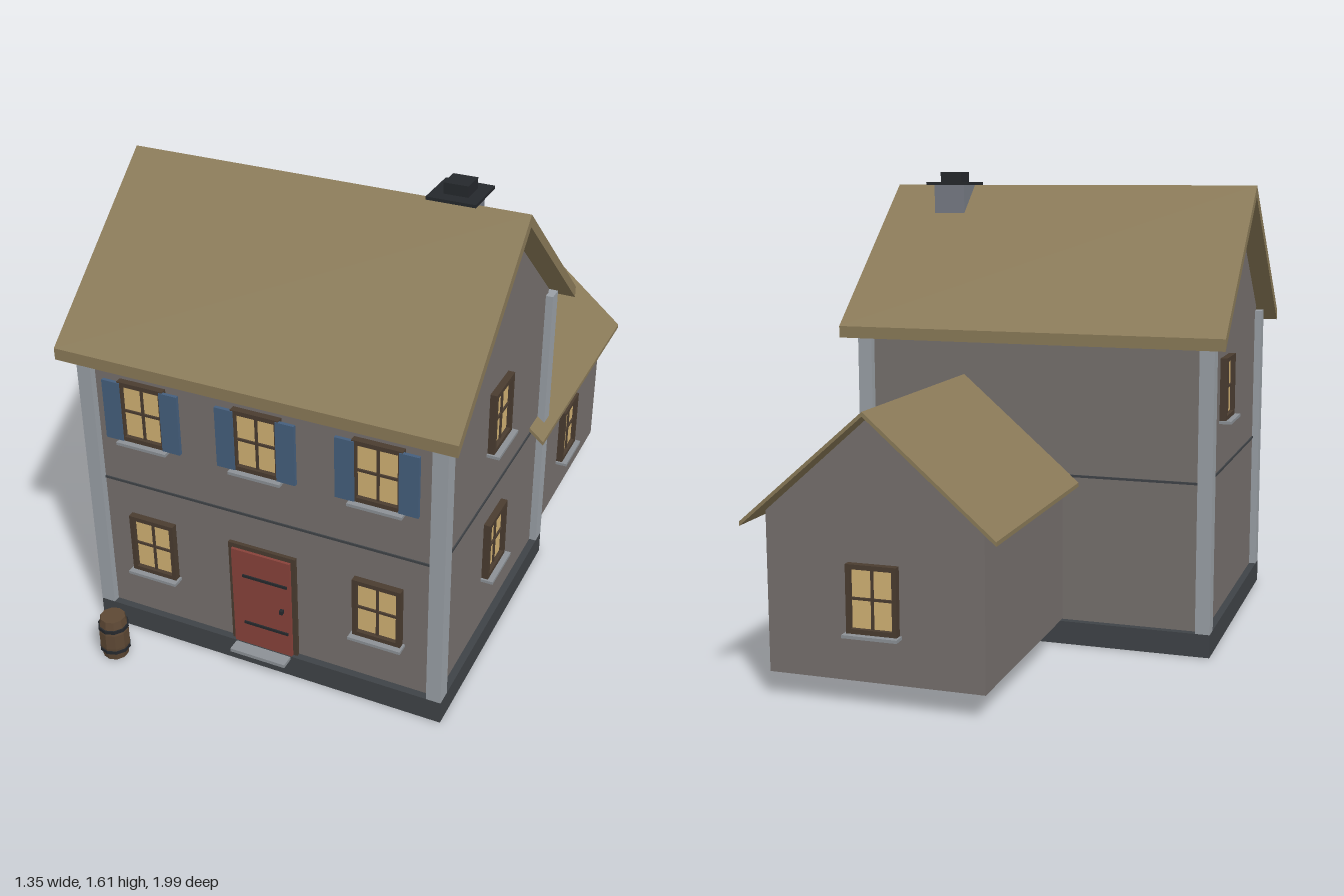
import * as THREE from 'three';

const mat = (color) => new THREE.MeshStandardMaterial({ color, flatShading: true, roughness: 0.9 });
const M = {
  wall: mat(0x76706d), roof: mat(0x8a7a58), pillar: mat(0x9aa0a6), base: mat(0x3f4347),
  wood: mat(0x4a3c30), glass: mat(0xd2b274), shutter: mat(0x455f7d), door: mat(0x88423a),
  iron: mat(0x25282c), sill: mat(0x8c9196), chimney: mat(0x777b84), barrel: mat(0x5d4834),
};

function add(parent, name, geometry, material, x = 0, y = 0, z = 0) {
  const mesh = new THREE.Mesh(geometry, material);
  mesh.name = name;
  mesh.position.set(x, y, z);
  parent.add(mesh);
  return mesh;
}

const box = (parent, name, material, w, h, d, x, y, z) =>
  add(parent, name, new THREE.BoxGeometry(w, h, d), material, x, y, z);

// Profile extruded along z and centred on it
function prism(points, length) {
  const shape = new THREE.Shape(points.map(([x, y]) => new THREE.Vector2(x, y)));
  const g = new THREE.ExtrudeGeometry(shape, { depth: length, bevelEnabled: false });
  return g.translate(0, 0, -length / 2);
}

// Five-sided house body
const bodyProfile = (half, bottom, eave, apex) =>
  [[-half, bottom], [half, bottom], [half, eave], [0, apex], [-half, eave]];

// Folded roof sheet of even vertical thickness
const roofProfile = (half, eave, ridge, t) =>
  [[-half, eave - t], [0, ridge - t], [half, eave - t], [half, eave], [0, ridge], [-half, eave]];

// Window facing +z, with its origin on the wall
function makeWindow(parent, name, x, y, z, turn = 0, shutters = false) {
  const g = new THREE.Group();
  g.name = name;
  g.position.set(x, y, z);
  g.rotation.y = turn;
  const w = 0.165, h = 0.215, b = 0.015;
  for (const s of [-1, 1]) {
    box(g, 'frameSide', M.wood, b, h, 0.03, s * (w - b) / 2, 0, 0.008);
    box(g, 'frameRail', M.wood, w - 2 * b, b, 0.03, 0, s * (h - b) / 2, 0.008);
    if (shutters) box(g, 'shutter', M.shutter, 0.064, 0.212, 0.012, s * 0.104, -0.002, 0.02);
  }
  box(g, 'glass', M.glass, w - 2 * b, h - 2 * b, 0.012, 0, 0, 0.002);
  box(g, 'mullion', M.wood, 0.008, h - 2 * b, 0.012, 0, 0, 0.008);
  box(g, 'transom', M.wood, w - 2 * b, 0.008, 0.012, 0, 0, 0.008);
  box(g, 'sill', M.sill, 0.18, 0.01, 0.045, 0, -h / 2 - 0.005, 0.02);
  parent.add(g);
}

export function createModel() {
  const house = new THREE.Group();
  house.name = 'house';
  const cz = 0.305;

  // Main block: plinth, walls, string course, corner pillars, roof
  box(house, 'plinth', M.base, 1.26, 0.08, 0.99, 0, 0.04, cz);
  add(house, 'mainWalls', prism(bodyProfile(0.47, 0.08, 1.095, 1.51), 1.21), M.wall, 0, 0, cz)
    .rotation.y = Math.PI / 2;
  box(house, 'stringCourse', M.base, 1.218, 0.008, 0.948, 0, 0.587, cz);
  for (const sx of [-1, 1]) for (const sz of [-1, 1])
    box(house, 'cornerPillar', M.pillar, 0.05, 1.0, 0.054, sx * 0.605, 0.58, cz + sz * 0.468);
  add(house, 'mainRoof', prism(roofProfile(0.545, 1.08, 1.56, 0.04), 1.35), M.roof, 0, 0, 0.3)
    .rotation.y = Math.PI / 2;

  // Rear wing
  const wx = 0.245;
  add(house, 'wingWalls', prism(bodyProfile(0.354, 0.08, 0.59, 0.9), 0.78), M.wall, wx, 0, -0.55);
  add(house, 'wingRoof', prism(roofProfile(0.411, 0.565, 0.92, 0.014), 0.95), M.roof, wx, 0, -0.525);

  // Windows
  const front = 0.775, side = 0.605;
  for (const x of [-0.405, 0, 0.405]) makeWindow(house, 'upperWindow', x, 0.873, front, 0, true);
  for (const x of [-0.405, 0.405]) makeWindow(house, 'lowerWindow', x, 0.36, front);
  for (const y of [0.873, 0.382]) makeWindow(house, 'rightSideWindow', side, y, 0.306, Math.PI / 2);
  makeWindow(house, 'leftSideWindow', -side, 0.873, 0.13, -Math.PI / 2);
  makeWindow(house, 'wingSideWindow', wx + 0.354, 0.343, -0.527, Math.PI / 2);
  makeWindow(house, 'wingBackWindow', wx, 0.343, -0.94, Math.PI);

  // Door with frame, strap hinges, handle and step
  const door = new THREE.Group();
  door.name = 'door';
  door.position.z = front;
  house.add(door);
  box(door, 'doorFrame', M.wood, 0.24, 0.39, 0.02, 0, 0.275, 0.003);
  box(door, 'doorLeaf', M.door, 0.21, 0.375, 0.02, 0, 0.267, 0.013);
  for (const y of [0.17, 0.36]) box(door, 'strapHinge', M.iron, 0.16, 0.009, 0.006, 0.015, y, 0.025);
  box(door, 'doorHandle', M.iron, 0.012, 0.014, 0.016, 0.075, 0.26, 0.028);
  box(door, 'doorStep', M.sill, 0.2, 0.012, 0.07, 0, 0.072, 0.035);

  // Chimney: stack, cap slab, flue
  const chimney = new THREE.Group();
  chimney.name = 'chimney';
  chimney.position.set(0.43, 0, 0.243);
  house.add(chimney);
  box(chimney, 'chimneyStack', M.chimney, 0.115, 0.22, 0.115, 0, 1.45, 0);
  box(chimney, 'chimneyCap', M.iron, 0.16, 0.01, 0.165, 0, 1.565, 0);
  box(chimney, 'chimneyFlue', M.iron, 0.08, 0.036, 0.08, 0, 1.588, 0);

  // Barrel beside the front wall
  const barrel = new THREE.Group();
  barrel.name = 'barrel';
  barrel.position.set(-0.49, 0, 0.94);
  house.add(barrel);
  const staves = [[0, 0], [0.042, 0], [0.051, 0.05], [0.051, 0.105], [0.042, 0.155], [0, 0.155]];
  add(barrel, 'staves', new THREE.LatheGeometry(staves.map(([r, y]) => new THREE.Vector2(r, y)), 10), M.barrel);
  for (const y of [0.035, 0.12])
    add(barrel, 'hoop', new THREE.CylinderGeometry(0.052, 0.052, 0.012, 10), M.iron, 0, y, 0);

  return house;
}
